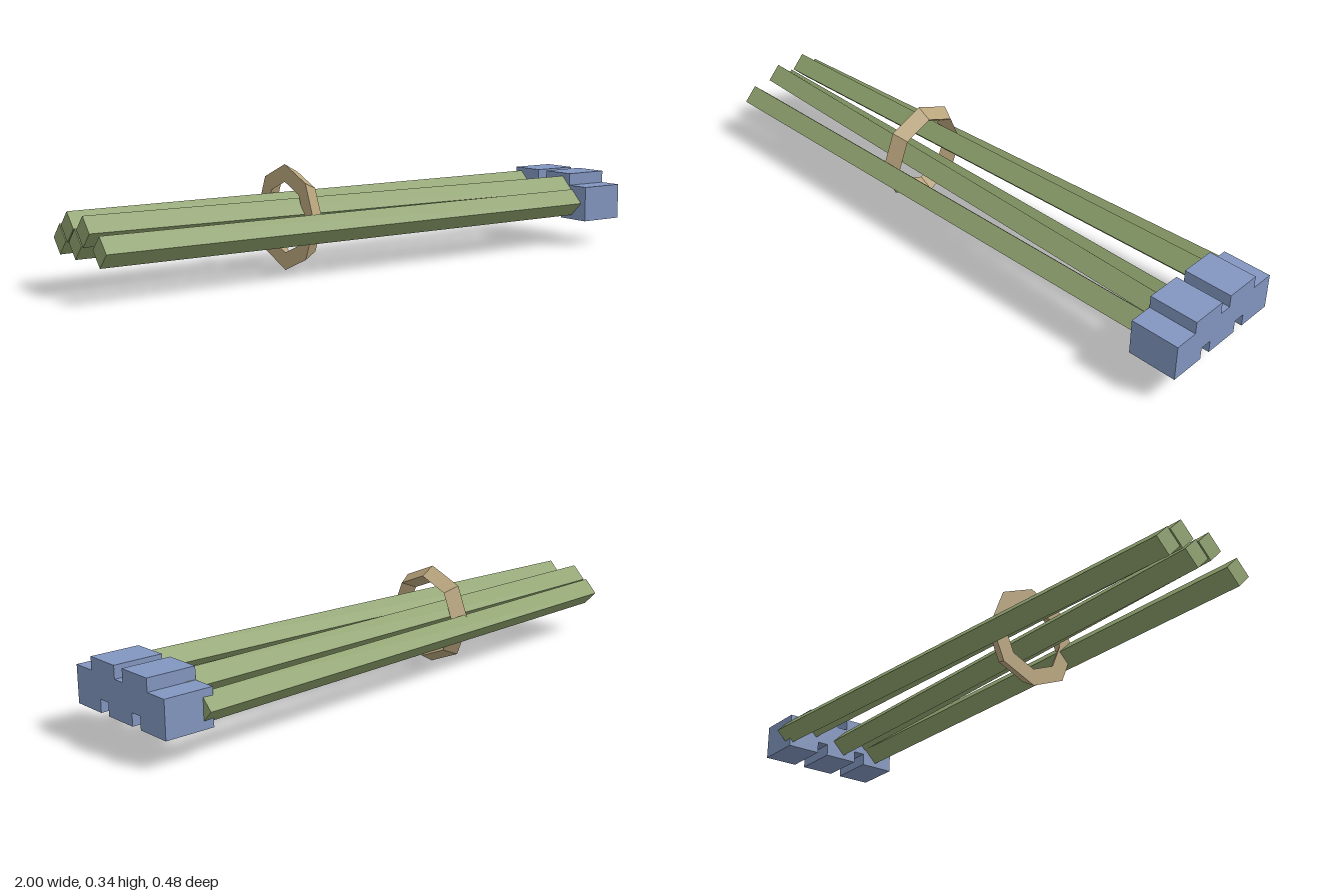
import * as THREE from 'three';

const flat = (color) => new THREE.MeshStandardMaterial({ color, flatShading: true });

// Diamond-section pole along x, sheared so that both ends stay square to x
function poleGeometry(y, zStart, zEnd, x0 = -1, x1 = 0.87) {
  const g = new THREE.CylinderGeometry(0.0465, 0.0465, x1 - x0, 4);
  g.rotateZ(-Math.PI / 2);
  g.translate((x0 + x1) / 2, y, 0);
  const p = g.attributes.position;
  for (let i = 0; i < p.count; i++) {
    const t = (p.getX(i) - x0) / (x1 - x0);
    p.setZ(i, p.getZ(i) + THREE.MathUtils.lerp(zStart, zEnd, t));
  }
  g.computeVertexNormals();
  return g;
}

export function createModel() {
  const model = new THREE.Group();
  const add = (name, geometry, material) => {
    const mesh = new THREE.Mesh(geometry, material);
    mesh.name = name;
    model.add(mesh);
    return mesh;
  };

  // Five fanned poles: three below, two resting above
  const green = flat(0x8fa26e);
  const poles = [
    [0.152, -0.104, -0.195],
    [0.152, 0.01, 0.03],
    [0.152, 0.182, 0.174],
    [0.196, -0.046, -0.096],
    [0.196, 0.068, 0.126],
  ];
  poles.forEach(([y, a, b], i) => add(`pole${i + 1}`, poleGeometry(y, a, b), green));

  // Stepped end block: outline drawn in (z, y), extruded along x
  const outline = [
    [0.242, 0.09], [0.242, 0.212], [0.161, 0.212], [0.161, 0.254],
    [0.039, 0.254], [0.039, 0.212], [-0.002, 0.212], [-0.002, 0.254],
    [-0.125, 0.254], [-0.125, 0.212], [-0.206, 0.212], [-0.206, 0.09],
    [-0.084, 0.09], [-0.084, 0.132], [-0.043, 0.132], [-0.043, 0.09],
    [0.079, 0.09], [0.079, 0.132], [0.12, 0.132], [0.12, 0.09],
  ].map(([z, y]) => new THREE.Vector2(z, y));
  const block = new THREE.ExtrudeGeometry(new THREE.Shape(outline), { depth: 0.165, bevelEnabled: false });
  block.rotateY(-Math.PI / 2);
  block.translate(1, 0, 0);
  add('endBlock', block, flat(0x8296c0));

  // Eight-sided binding ring with a triangular section
  const section = [[0.172, 0], [0.1435, 0.05], [0.115, 0], [0.172, 0]]
    .map(([r, h]) => new THREE.Vector2(r, h));
  const ring = new THREE.LatheGeometry(section, 8);
  ring.rotateZ(-Math.PI / 2);
  ring.translate(-0.285, 0.172, 0.018);
  add('bindingRing', ring, flat(0xb8a47c));

  return model;
}
